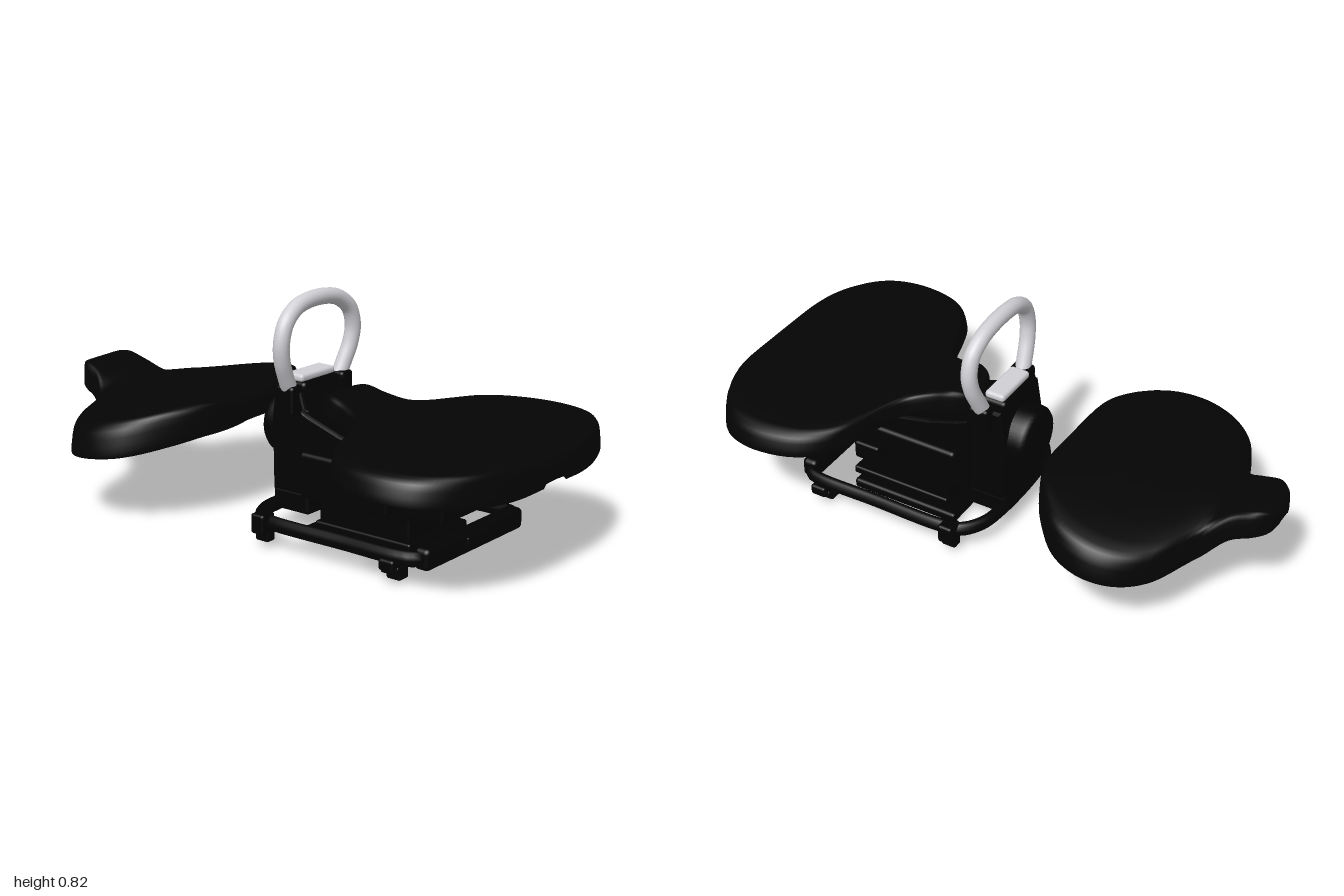
import * as THREE from 'three';
import { RoundedBoxGeometry } from 'three/addons/geometries/RoundedBoxGeometry.js';

const seatBlack = new THREE.MeshStandardMaterial({ color: 0x040404 });
seatBlack.name = 'seat black';
const frameBlack = new THREE.MeshStandardMaterial({ color: 0x020202 });
frameBlack.name = 'frame black';
const silver = new THREE.MeshStandardMaterial({ color: 0xd0d0d5 });
silver.name = 'silver';

// Half section of a cushion: u across the half width, v from lip (0) to top (1), negative v is the underside recess
const SECTION = [[0, 1], [0.3, 1], [0.6, 1], [0.8, 0.992], [0.89, 0.965], [0.935, 0.9], [0.965, 0.77], [0.982, 0.57],
  [0.993, 0.35], [1, 0.2], [1, 0.06], [0.97, 0], [0.92, 0], [0.89, -0.35], [0.85, -0.8], [0.5, -0.92], [0, -1]];
const RING = [...SECTION, ...SECTION.slice(1, -1).reverse().map(([u, v]) => [-u, v])];

// Lofts a cushion through stations [x, halfWidth, topY, lipY, wingDroop]
function cushion(stations, recess, zShift = 0, tilt = 0) {
  const curves = [1, 2].map((k) => new THREE.CatmullRomCurve3(
    stations.map((s) => (k === 1 ? new THREE.Vector3(s[0], s[1], s[2]) : new THREE.Vector3(s[0], s[3], s[4] || 0))), false, 'centripetal'));
  const steps = (stations.length - 1) * 5, n = RING.length, pos = [], idx = [];
  for (let i = 0; i <= steps; i++) {
    const a = curves[0].getPoint(i / steps), b = curves[1].getPoint(i / steps);
    for (const [u, v] of RING) {
      const z = u * a.y, rise = v < 0 ? -v * recess : v;
      pos.push(a.x, b.y + (a.z - b.y) * rise - b.z * u * u - tilt * z, z + zShift * Math.min(1, a.y * a.y * 6));
    }
  }
  for (let i = 0; i < steps; i++) {
    for (let j = 0; j < n; j++) {
      const a = i * n + j, b = i * n + (j + 1) % n;
      idx.push(a, b, a + n, b, b + n, a + n);
    }
  }
  // End caps
  const last = steps * n;
  for (let j = 1; j < n - 1; j++) idx.push(0, j + 1, j, last, last + j, last + j + 1);
  const g = new THREE.BufferGeometry();
  g.setAttribute('position', new THREE.Float32BufferAttribute(pos, 3));
  g.setIndex(idx);
  g.computeVertexNormals();
  return g;
}

// Side profile in x and y, extruded evenly about z = 0
function slab(points, width, bevel = 0.01) {
  const shape = new THREE.Shape(points.map(([x, y]) => new THREE.Vector2(x, y)));
  const g = new THREE.ExtrudeGeometry(shape, { depth: width - 2 * bevel, bevelSize: bevel, bevelThickness: bevel, bevelOffset: -bevel, bevelSegments: 2 });
  return g.translate(0, 0, -width / 2 + bevel);
}

export function createModel() {
  const model = new THREE.Group();
  model.name = 'twinSaddleUnit';
  const add = (parent, name, geometry, material, x = 0, y = 0, z = 0) => {
    const m = new THREE.Mesh(geometry, material);
    m.name = name;
    m.position.set(x, y, z);
    parent.add(m);
    return m;
  };
  // Box given by its x, y and z limits
  const box = (name, x0, x1, y0, y1, z0, z1, r = 0.008, material = frameBlack) => add(model, name,
    new RoundedBoxGeometry(x1 - x0, y1 - y0, z1 - z0, 3, r), material, (x0 + x1) / 2, (y0 + y1) / 2, (z0 + z1) / 2);

  // Loose saddle with drooping wings
  add(model, 'looseSeat', cushion([
    [-1, 0.035, 0.412, 0.372], [-0.985, 0.08, 0.43, 0.357], [-0.945, 0.118, 0.44, 0.345], [-0.87, 0.14, 0.415, 0.315],
    [-0.8, 0.2, 0.398, 0.292, 0.04], [-0.72, 0.38, 0.397, 0.29, 0.055], [-0.66, 0.452, 0.4, 0.29, 0.053],
    [-0.59, 0.493, 0.407, 0.293, 0.048], [-0.5, 0.503, 0.42, 0.298, 0.042], [-0.4, 0.467, 0.43, 0.303, 0.03],
    [-0.3, 0.36, 0.436, 0.31, 0.01], [-0.24, 0.25, 0.43, 0.32], [-0.217, 0.14, 0.41, 0.325],
    [-0.21, 0.05, 0.38, 0.335]], 0.08, 0.016, 0.035), seatBlack);

  // Mounted saddle
  add(model, 'mountedSeat', cushion([
    [0.13, 0.04, 0.46, 0.43], [0.145, 0.08, 0.487, 0.425], [0.19, 0.11, 0.5, 0.42], [0.26, 0.125, 0.482, 0.408],
    [0.33, 0.16, 0.462, 0.392], [0.37, 0.22, 0.455, 0.38], [0.41, 0.33, 0.45, 0.367], [0.46, 0.44, 0.447, 0.358],
    [0.55, 0.515, 0.445, 0.352], [0.7, 0.547, 0.443, 0.348], [0.82, 0.518, 0.442, 0.342], [0.9, 0.445, 0.441, 0.335],
    [0.96, 0.325, 0.436, 0.33], [0.99, 0.19, 0.42, 0.328], [1, 0.07, 0.395, 0.333]], 0.24), seatBlack);

  // Carry handle
  const half = [[0.046, 0.505, 0.135], [0.05, 0.55, 0.158], [0.056, 0.61, 0.184], [0.06, 0.67, 0.192],
    [0.06, 0.735, 0.17], [0.056, 0.777, 0.115], [0.054, 0.793, 0.05]];
  const loop = [...half, ...half.slice().reverse().map(([x, y, z]) => [x, y, -z])].map((p) => new THREE.Vector3(...p));
  add(model, 'handle', new THREE.TubeGeometry(new THREE.CatmullRomCurve3(loop), 80, 0.028, 20), silver);

  // Upright post, head and side knob
  add(model, 'post', slab([[-0.03, 0.14], [0.16, 0.14], [0.16, 0.4], [0.11, 0.44], [0.09, 0.5], [-0.02, 0.5], [-0.035, 0.4]], 0.26), frameBlack);
  box('head', -0.02, 0.08, 0.44, 0.522, -0.095, 0.095, 0.015);
  box('headPlate', -0.01, 0.065, 0.518, 0.546, -0.09, 0.09, 0.012, silver);
  const knobProfile = [[0, 0], [0.08, 0], [0.1, 0.008], [0.111, 0.022], [0.113, 0.04], [0.113, 0.08]];
  add(model, 'knob', new THREE.LatheGeometry(knobProfile.map((p) => new THREE.Vector2(...p)), 36).rotateZ(-Math.PI / 2), frameBlack, -0.105, 0.348);

  // Arm under the mounted seat and its carriage
  add(model, 'arm', slab([[0.1, 0.14], [0.54, 0.14], [0.56, 0.162], [0.68, 0.165], [0.69, 0.23], [0.74, 0.25], [0.76, 0.28], [0.75, 0.35],
    [0.42, 0.35], [0.26, 0.385], [0.14, 0.425], [0.1, 0.44]], 0.29), frameBlack);
  box('armCover', 0.13, 0.68, 0.25, 0.315, -0.19, 0.19, 0.015);
  box('seatBracket', 0.42, 0.74, 0.33, 0.375, -0.2, 0.2, 0.015);
  box('bracketLatch', 0.73, 0.765, 0.24, 0.3, -0.05, 0.05);
  box('carriage', 0.18, 0.55, 0.04, 0.165, -0.14, 0.14, 0.01);

  // Base pan
  box('basePan', 0.13, 0.55, 0.012, 0.05, -0.195, 0.195, 0.012);
  add(model, 'panRidge', slab([[0.16, 0.03], [0.18, 0.002], [0.5, 0.002], [0.52, 0.03]], 0.12, 0.004), frameBlack);
  box('panDeck', 0.18, 0.57, 0.05, 0.08, -0.165, 0.165, 0.008);

  // Closed rail loop with rounded corners
  const corner = [[0.69, 0.15], [0.687, 0.24], [0.67, 0.285], [0.62, 0.3], [0.4, 0.3], [0.12, 0.3], [0.05, 0.285], [0, 0.22], [-0.018, 0.12]];
  const rail = [...corner, ...corner.slice().reverse().map(([x, z]) => [x, -z])].map(([x, z]) => new THREE.Vector3(x, 0, z));
  add(model, 'rail', new THREE.TubeGeometry(new THREE.CatmullRomCurve3(rail, true, 'centripetal'), 140, 0.02, 12, true).scale(1, 1.3, 1), frameBlack, 0, 0.09);
  box('innerCrossbar', -0.035, 0.12, 0.07, 0.15, -0.125, 0.125, 0.015);
  box('endCrossbar', 0.66, 0.72, 0.052, 0.126, -0.275, 0.275, 0.018);
  box('crossbarGrip', 0.71, 0.726, 0.075, 0.11, -0.06, 0.06, 0.006);

  // Paired fittings on both sides
  for (const s of [-1, 1]) {
    const pair = (name, x0, x1, y0, y1, a, b, r) => box(name, x0, x1, y0, y1, Math.min(s * a, s * b), Math.max(s * a, s * b), r);
    pair('handleSocket', 0.01, 0.085, 0.42, 0.52, 0.105, 0.165, 0.012);
    pair('pivotBlock', 0.42, 0.52, 0.18, 0.25, 0.14, 0.225, 0.01);
    pair('railClamp', 0.05, 0.105, 0.055, 0.125, 0.28, 0.345, 0.01);
    pair('railFoot', 0.05, 0.105, 0.025, 0.07, 0.28, 0.32, 0.008);
    pair('endCap', 0.575, 0.635, 0.05, 0.09, 0.29, 0.345, 0.01);
    pair('endFoot', 0.575, 0.63, 0.01, 0.06, 0.25, 0.3, 0.008);
    pair('footArm', 0.57, 0.64, 0.035, 0.065, 0.27, 0.325, 0.008);
    add(model, 'pivotBolt', new THREE.CylinderGeometry(0.022, 0.022, 0.02, 20).rotateX(Math.PI / 2), frameBlack, 0.05, 0.18, s * 0.135);
    add(model, 'upperBolt', new THREE.CylinderGeometry(0.022, 0.022, 0.02, 20).rotateX(Math.PI / 2), frameBlack, 0.04, 0.46, s * 0.165);
  }
  return model;
}
